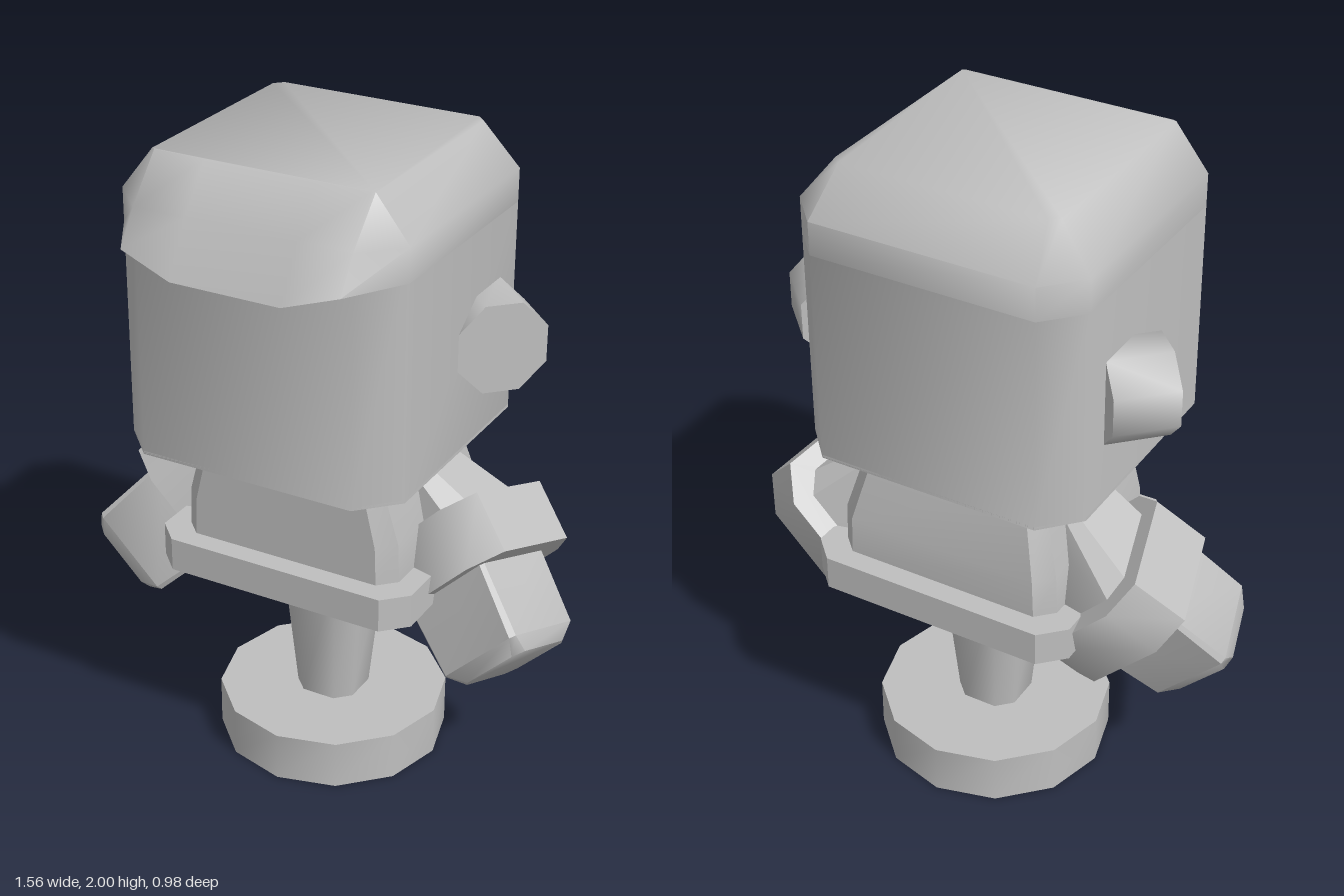
import * as THREE from 'three';
import { toCreasedNormals } from 'three/addons/utils/BufferGeometryUtils.js';

const gray = new THREE.MeshStandardMaterial({ color: 0xbfbfbf });
gray.name = 'plainGray';
gray.side = THREE.DoubleSide;

const vec = (x, y, z) => new THREE.Vector3(x, y, z);

// Skin a list of rings; rings run counter-clockwise around the direction of travel
function loft(rings, { closed = true, start = true, end = true, crease = 0.6, mirror = false } = {}) {
  const n = rings[0].length, pos = [];
  const tri = (a, b, c) => {
    for (const p of mirror ? [a, c, b] : [a, b, c]) pos.push(mirror ? -p.x : p.x, p.y, p.z);
  };
  for (let r = 0; r + 1 < rings.length; r++) {
    const a = rings[r], b = rings[r + 1];
    for (let i = 0; i < (closed ? n : n - 1); i++) {
      const j = (i + 1) % n;
      if (a[i].distanceTo(a[j]) > 1e-5) tri(a[i], a[j], b[j]);
      if (b[i].distanceTo(b[j]) > 1e-5) tri(a[i], b[j], b[i]);
    }
  }
  const last = rings[rings.length - 1];
  for (let i = 1; closed && i + 1 < n; i++) {
    if (start) tri(rings[0][0], rings[0][i + 1], rings[0][i]);
    if (end) tri(last[0], last[i], last[i + 1]);
  }
  const geo = new THREE.BufferGeometry();
  geo.setAttribute('position', new THREE.Float32BufferAttribute(pos, 3));
  return toCreasedNormals(geo, crease);
}

// Rectangle with cut corners in the plane of U and V
function cutRect(centre, U, V, hu, hv, cu, cv = cu) {
  return [[hu, -hv + cv], [hu, hv - cv], [hu - cu, hv], [-hu + cu, hv],
    [-hu, hv - cv], [-hu, -hv + cv], [-hu + cu, -hv], [hu - cu, -hv]]
    .map(([a, b]) => centre.clone().addScaledVector(U, a).addScaledVector(V, b));
}

const X = vec(1, 0, 0), Z = vec(0, 0, 1), MID = -0.117;
const level = (y, hx, hz, cut, z = MID) => cutRect(vec(0, y, z), Z, X, hz, hx, cut);

export function createModel() {
  const model = new THREE.Group();
  const add = (name, geo, parent = model) => {
    const mesh = new THREE.Mesh(geo, gray);
    mesh.name = name;
    parent.add(mesh);
    return mesh;
  };

  // Stand: twelve-sided foot and tapered post
  const foot = add('foot', toCreasedNormals(new THREE.CylinderGeometry(0.358, 0.358, 0.155, 12), 0.6));
  foot.position.set(0, 0.0775, MID);
  add('post', loft([level(0.15, 0.098, 0.098, 0.045), level(0.66, 0.143, 0.143, 0.06)], { crease: 0.9 }));

  // Body: hem plate and torso flaring from the neck
  add('hem', loft([level(0.655, 0.42, 0.372, 0.07), level(0.76, 0.42, 0.372, 0.07)]));
  add('torso', loft([
    level(0.75, 0.355, 0.305, 0.05),
    level(0.88, 0.35, 0.305, 0.05),
    level(1.13, 0.28, 0.275, 0.04, -0.088),
  ]));

  // Head walls, face and underside
  const at = (y) => ([x, z]) => vec(x, y, z);
  const wall = [[0.443, 0.29], [0.443, -0.38], [0.343, -0.488], [-0.343, -0.488], [-0.443, -0.38], [-0.443, 0.29]];
  const front = [[-0.443, 0.29], [-0.335, 0.4], [0.335, 0.4], [0.443, 0.29]];
  add('headWalls', loft([wall.map(at(1.12)), wall.map(at(1.77))], { closed: false, crease: 1 }));
  add('face', loft([front.map(at(1.12)), front.map(at(1.85))], { closed: false, crease: 1 }));
  const floor = [...wall, [-0.335, 0.4], [0.335, 0.4]];
  add('headUnderside', loft([floor.map(at(1.12)), floor.map(at(1.13))]));

  // Cap of hair with a brim that dips in the middle
  const half = (s) => [[s * 0.335, 1.77, 0.466], [s * 0.17, 1.717, 0.486]].map((p) => vec(...p));
  const brim = [...half(-1), ...half(1).reverse()];
  const shoulder = [[-0.335, 0.4], [-0.17, 0.4], [0.17, 0.4], [0.335, 0.4]];
  const crown = [[0.34, 0.29], [0.34, -0.35], [0.315, -0.375], [-0.315, -0.375], [-0.34, -0.35], [-0.34, 0.29],
    [-0.33, 0.295], [-0.17, 0.295], [0.17, 0.295], [0.33, 0.295]];
  add('hair', loft([
    [...wall.map(at(1.77)), ...brim],
    [...wall, ...shoulder].map(at(1.87)),
    crown.map(at(2)),
  ], { start: false, crease: 1 }));

  // Arms point outward, down and a little forward
  const tilt = 0.367, q = Math.SQRT1_2, c = Math.cos(tilt), s = Math.sin(tilt);
  const D = vec(q * c, -q * c, s), U = vec(-q * s, q * s, c), V = vec(q, q, 0);
  const wrist = vec(0.49, 0.68, -0.1);
  const section = (t, hv, hu, cv, cu = cv, shift = 0) =>
    cutRect(wrist.clone().addScaledVector(D, t).addScaledVector(U, shift), V, U, hv, hu, cv, cu);

  for (const side of [1, -1]) {
    const mirror = side < 0;
    const arm = new THREE.Group();
    arm.name = mirror ? 'rightArm' : 'leftArm';
    model.add(arm);
    add('sleeve', loft([
      cutRect(vec(0.21, 1.03, -0.15), V, U, 0.07, 0.1, 0.02),
      section(-0.16, 0.18, 0.18, 0.06, 0.06, -0.03),
    ], { mirror }), arm);
    add('cuff', loft([
      section(-0.19, 0.235, 0.22, 0.1, 0.07, -0.03),
      section(0, 0.235, 0.22, 0.1, 0.07, -0.03),
    ], { mirror, crease: 0.85 }), arm);
    add('hand', loft([
      section(-0.05, 0.165, 0.147, 0.01),
      section(0.225, 0.152, 0.147, 0.015),
      section(0.27, 0.125, 0.12, 0.03),
    ], { mirror, crease: 0.75 }), arm);

    // Eight-sided ear disc, turned halfway toward the front
    const disc = new THREE.CylinderGeometry(0.1434, 0.1434, 0.19, 8);
    disc.rotateY(Math.PI / 8).rotateX(Math.PI / 2).rotateY(side * Math.PI / 4);
    const ear = add(mirror ? 'rightEar' : 'leftEar', toCreasedNormals(disc, 0.9));
    ear.position.set(side * 0.468, 1.443, -0.178);
  }
  return model;
}
